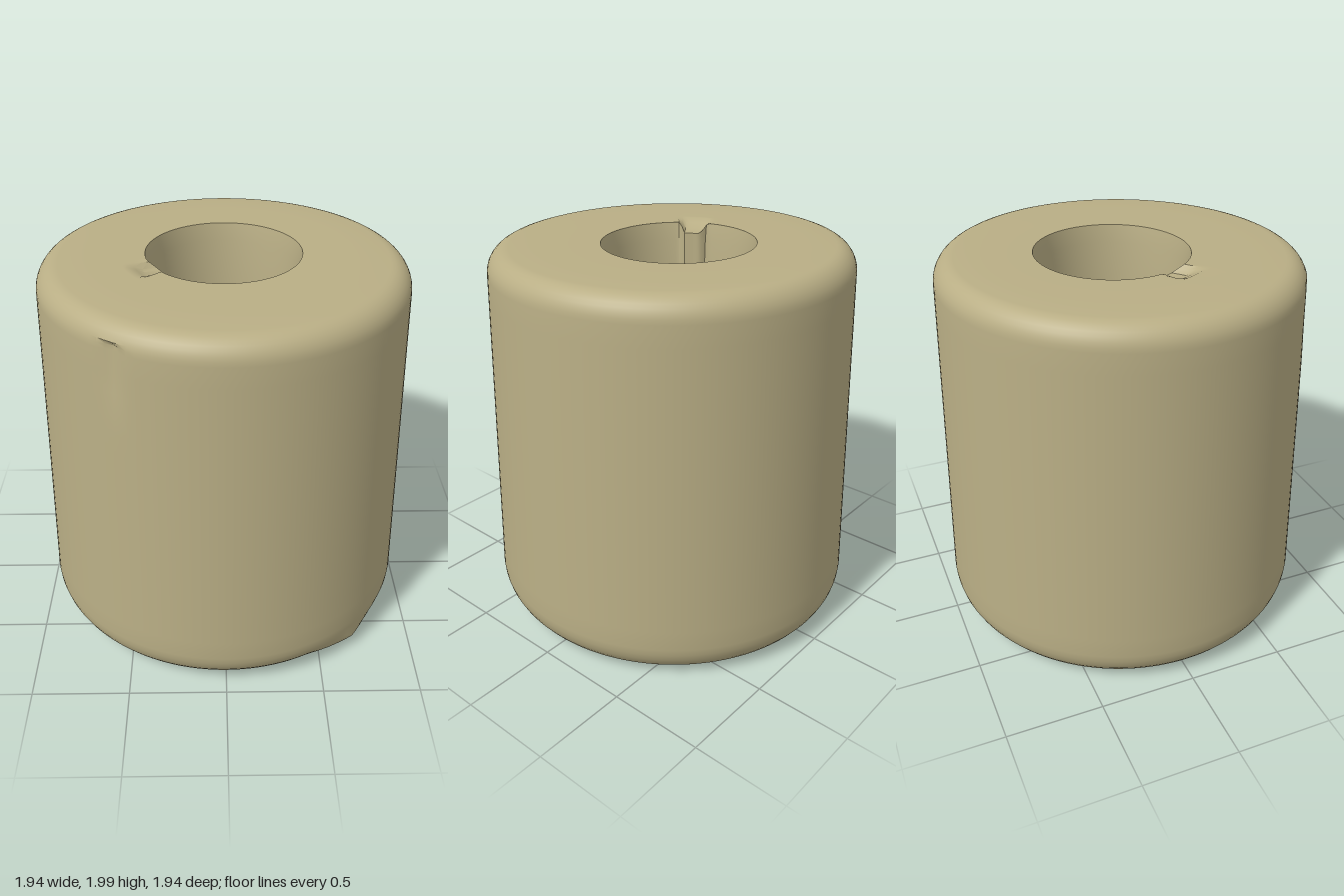
import * as THREE from 'three';
import { toCreasedNormals } from 'three/addons/utils/BufferGeometryUtils.js';

const clay = new THREE.MeshStandardMaterial({ color: 0xb9ae85 });
clay.name = 'clay';

const SEGMENTS = 144;
const smooth = THREE.MathUtils.smoothstep;
const lerp = THREE.MathUtils.lerp;

// Quarter-ellipse of points around (cx, cy), from angle a to b in degrees
function fillet(cx, cy, rx, ry, a, b, n = 8) {
  return Array.from({ length: n + 1 }, (_, i) => {
    const t = THREE.MathUtils.degToRad(lerp(a, b, i / n));
    return new THREE.Vector2(cx + rx * Math.cos(t), cy + ry * Math.sin(t));
  });
}

// Closeness to an angle: 1 on it, falling to 0 at the given half width (degrees)
function near(phi, centre, half) {
  let d = Math.abs(THREE.MathUtils.radToDeg(phi) - centre) % 360;
  d = Math.min(d, 360 - d);
  return Math.max(0, 1 - d / half);
}

function createBead() {
  const p = (x, y) => new THREE.Vector2(x, y);
  const taper = [];
  for (let i = 1; i < 16; i++) taper.push(p(lerp(0.97, 0.923, i / 16), lerp(0.2, 1.87, i / 16)));

  // Closed section: bore rim, underside, tapered wall, top, bore
  const profile = [
    p(0.39, 0.015), p(0.45, 0.015), p(0.52, 0.015), p(0.65, 0.015),
    ...fillet(0.8, 0.2, 0.17, 0.185, -90, 0),
    ...taper,
    ...fillet(0.813, 1.87, 0.11, 0.118, 0, 90),
    p(0.65, 1.99), p(0.52, 1.99), p(0.5, 1.99), p(0.46, 1.99), p(0.42, 1.99), p(0.39, 1.99),
    p(0.375, 1.9), p(0.36, 1.6), p(0.345, 1), p(0.345, 0.3), p(0.355, 0.1), p(0.39, 0.015),
  ];
  const geo = new THREE.LatheGeometry(profile, SEGMENTS);
  const pos = geo.attributes.position;

  for (let i = 0; i < pos.count; i++) {
    let y = pos.getY(i);
    const phi = Math.atan2(pos.getX(i), pos.getZ(i));
    const r0 = Math.hypot(pos.getX(i), pos.getZ(i));
    let r = r0;

    // Pinched corner at the foot of the wall
    if (r0 > 0.75 && y < 0.4) r = lerp(r, Math.max(r, Math.min(0.965, 0.9 + y)), near(phi, 45, 17));

    // Small dent under the upper edge
    if (r0 > 0.9 && y > 1.55 && y < 1.9) r -= 0.025 * near(phi, -33, 5) * smooth(y, 1.5, 1.85);

    // Rib along the bore and the nicks at its ends
    const rib = smooth(near(phi, -62, 13), 0.1, 0.5);
    if (r0 < 0.4) r = lerp(r, 0.337, rib);
    if (r0 < 0.51 && y > 1.95) y -= 0.045 * rib * (1 - smooth(r0, 0.4, 0.505));
    if (r0 < 0.46 && y < 0.05) y += 0.035 * rib * (1 - smooth(r0, 0.39, 0.52));

    // Bore sits slightly behind the centre, and the end faces lean a little
    const off = 1 - smooth(r0, 0.4, 0.9);
    const z = r * Math.cos(phi) - 0.045 * off;
    y += z * lerp(0.014, -0.01, y / 2);
    pos.setXYZ(i, r * Math.sin(phi), y, z);
  }
  const mesh = new THREE.Mesh(toCreasedNormals(geo, 0.6), clay);
  mesh.name = 'bead';
  return mesh;
}

export function createModel() {
  const model = new THREE.Group();
  model.name = 'piercedCylinderBead';
  model.add(createBead());
  return model;
}
